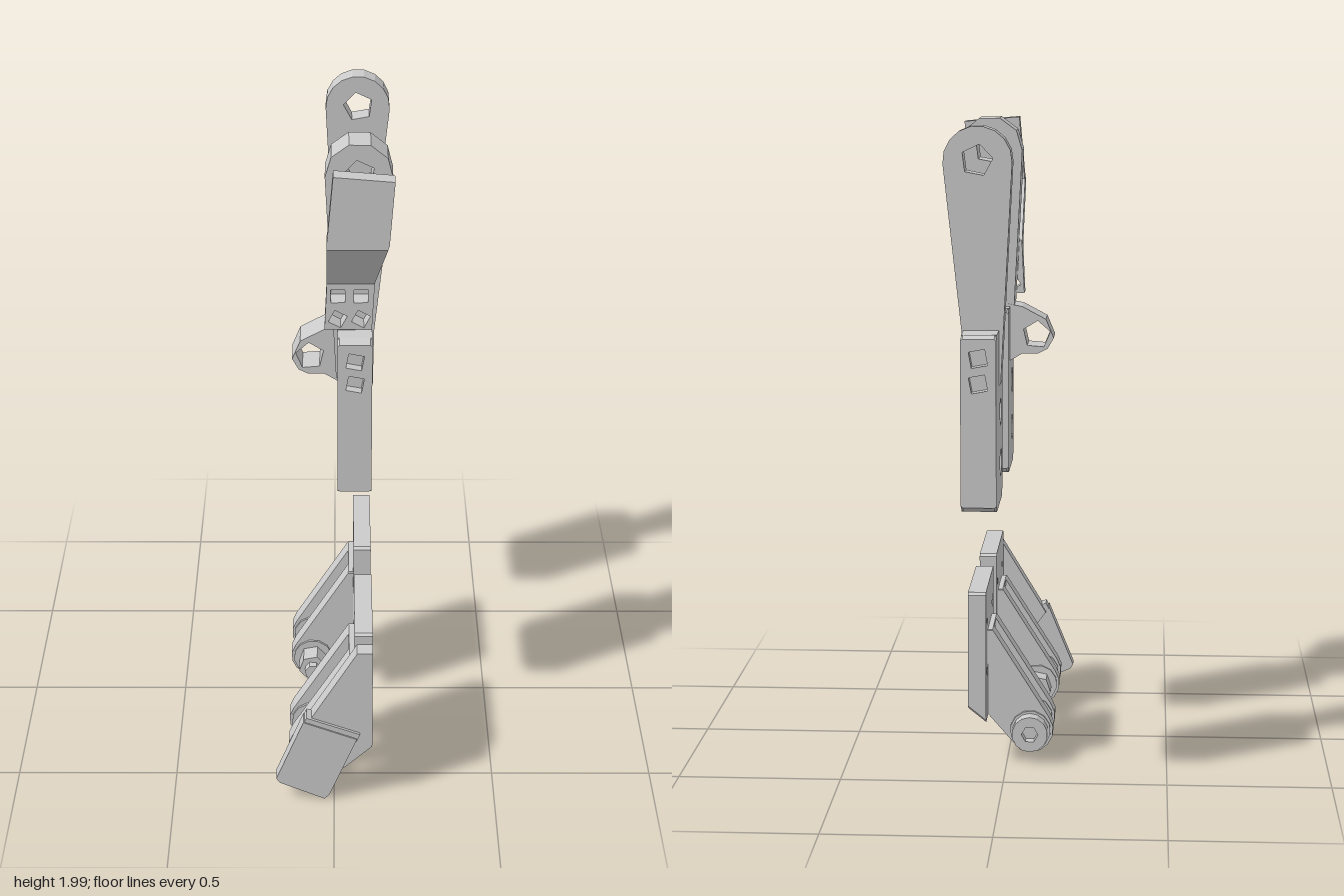
import * as THREE from 'three';

const material = new THREE.MeshStandardMaterial({ color: 0xcccccc, flatShading: true });

// regular polygon as a list of points
const ring = (x, y, r, sides, turn = 0) => Array.from({ length: sides }, (_, i) => {
  const a = turn + (i / sides) * Math.PI * 2;
  return [x + r * Math.cos(a), y + r * Math.sin(a)];
});

function shapeOf(points, holes = []) {
  const vec = (list) => list.map(([x, y]) => new THREE.Vector2(x, y));
  const shape = new THREE.Shape(vec(points));
  for (const h of holes) shape.holes.push(new THREE.Path(vec(h)));
  return shape;
}

// rectangle with clipped corners
const clipped = (x0, x1, y0, y1, c) => [
  [x0 + c, y0], [x1 - c, y0], [x1, y0 + c], [x1, y1 - c],
  [x1 - c, y1], [x0 + c, y1], [x0, y1 - c], [x0, y0 + c],
];

function add(parent, name, geometry) {
  const mesh = new THREE.Mesh(geometry, material);
  mesh.name = name;
  parent.add(mesh);
  return mesh;
}

// (x, y) outline extruded between two z values
function alongZ(parent, name, points, za, zb, holes) {
  const g = new THREE.ExtrudeGeometry(shapeOf(points, holes), { depth: Math.abs(zb - za), bevelEnabled: false });
  g.translate(0, 0, Math.min(za, zb));
  return add(parent, name, g);
}

// (z, y) outline extruded between two x values
function alongX(parent, name, points, x0, x1, holes) {
  const g = new THREE.ExtrudeGeometry(shapeOf(points, holes), { depth: x1 - x0, bevelEnabled: false });
  g.rotateY(-Math.PI / 2).translate(x1, 0, 0);
  return add(parent, name, g);
}

// upper mounting block with an arm; side = +1 or -1 is the end with the large pockets
function upperBracket(name, zc, side, armFrom, armTo, roundness) {
  const group = new THREE.Group();
  group.name = name;
  const half = 0.152, cap = 0.035;
  const holes = (r, sides) => [];
  const centres = [-0.077, 0.077].flatMap((dz) => [0.99, 1.145].map((y) => [zc + dz, y]));
  const body = clipped(zc - half + cap, zc + half - cap, 0.875, 1.4, 0.001);
  alongX(group, 'blockOuterLayer', body, 0.06, 0.115, centres.map(([z, y], i) => ring(z, y, 0.033, 4, 0.3 + i * 0.4)));
  alongX(group, 'blockInnerLayer', body, 0.01, 0.06, centres.map(([z, y]) => ring(z, y, 0.045, 6, 0.3)));

  // end caps with blind screw pockets
  const capOutline = clipped(0.01, 0.115, 0.875, 1.4, 0.006);
  for (const end of [1, -1]) {
    const r = end === side ? 0.034 : 0.014;
    const pockets = [1.26, 1.335].map((y) => ring(0.063, y, r, end === side ? 4 : 3, 0.6));
    const cappedEnd = alongZ(group, 'blockEndCap', capOutline, zc + end * (half - cap), zc + end * half, pockets);
    // chamfer the outer top and bottom edges
    const p = cappedEnd.geometry.attributes.position;
    for (let i = 0; i < p.count; i++) {
      if (Math.abs(p.getZ(i) - zc) > half - 0.001) {
        if (p.getY(i) < 0.89) p.setY(i, p.getY(i) + 0.018);
        if (p.getY(i) > 1.39) p.setY(i, p.getY(i) - 0.008);
      }
    }
    cappedEnd.geometry.computeVertexNormals();
  }

  // tapered arm with a rounded, drilled head
  const outline = [[0.005, 1.24], [0.03, 1.22], [0.118, 1.22], [0.121, 1.4]];
  for (let i = 0; i <= roundness; i++) {
    const a = -0.08 + (i / roundness) * (Math.PI + 0.12);
    outline.push([0.073 + 0.102 * Math.cos(a), 1.898 + 0.102 * Math.sin(a)]);
  }
  alongZ(group, 'arm', outline, armFrom, armTo, [ring(0.075, 1.9, 0.048, 5, 0.5)]);
  return group;
}

// stepped tab fixed to the front of the arm
function offsetTab() {
  const group = new THREE.Group();
  group.name = 'offsetTab';
  const bolts = [0.01, 0.08].flatMap((x) => [1.465, 1.54].map((y, i) => ring(x, y, 0.03, 4, 0.3 + i * 0.5)));
  alongZ(group, 'tabFoot', [[-0.03, 1.43], [0.113, 1.43], [0.122, 1.6], [-0.022, 1.6]], 0.17, 0.235, bolts);
  // sloping web, widening towards the top
  const web = alongX(group, 'tabWeb', [[0.17, 1.6], [0.235, 1.58], [0.41, 1.76], [0.41, 1.785], [0.352, 1.785]], 0, 1);
  const p = web.geometry.attributes.position;
  for (let i = 0; i < p.count; i++) {
    const t = (p.getY(i) - 1.58) / 0.2;
    p.setX(i, p.getX(i) > 0.5 ? 0.12 + 0.04 * t : -0.023);
  }
  web.geometry.computeVertexNormals();
  const head = [[-0.022, 1.78], [0.16, 1.77], [0.175, 1.97], [-0.004, 1.985]];
  alongZ(group, 'tabHead', head, 0.375, 0.41);
  alongZ(group, 'tabHeadBack', head, 0.352, 0.375, [ring(0.08, 1.9, 0.026, 5)]);
  return group;
}

// lower plate with two gusset lugs and a cross bolt; m maps z for the mirrored copy
function lowerBracket(name, m) {
  const group = new THREE.Group();
  group.name = name;
  const a = m(0.195), b = m(0.567), z0 = Math.min(a, b), z1 = Math.max(a, b), zc = (a + b) / 2;
  const holes = [-0.133, 0.133].flatMap((dz) => [0.295, 0.455].map((y) => ring(zc + dz, y, 0.026, 3, dz > 0 ? Math.PI : 0)));
  const plate = alongX(group, 'mountingPlate', clipped(z0, z1, 0.19, 0.56, 0.008), 0.062, 0.118, holes);
  // slanted lower edge
  const p = plate.geometry.attributes.position;
  for (let i = 0; i < p.count; i++) if (p.getX(i) < 0.09 && p.getY(i) < 0.2) p.setY(i, p.getY(i) - 0.045);
  plate.geometry.computeVertexNormals();

  // gusset lugs
  const bx = -0.072, by = 0.1;
  const lug = [[0.07, 0.16], [0.07, 0.42], [0.045, 0.42]];
  for (let i = 0; i <= 6; i++) {
    const t = 2.5 + (i / 6) * 2.7;
    lug.push([bx + 0.072 * Math.cos(t), by + 0.072 * Math.sin(t)]);
  }
  for (const [s, e] of [[0.273, 0.335], [0.425, 0.487]]) alongZ(group, 'lug', lug, m(s), m(e));
  // raised ties between the lugs on the back of the plate
  for (const y of [0.3, 0.41]) alongZ(group, 'tie', clipped(0.045, 0.065, y - 0.012, y + 0.012, 0.002), m(0.28), m(0.48));
  alongZ(group, 'lowerTie', clipped(0.035, 0.07, 0.15, 0.2, 0.004), m(0.28), m(0.48));

  // cross bolt with spacer, washers and nut
  const disc = (part, r, sides, s, e, inner) => alongZ(group, part, ring(bx, by, r, sides, 0.2), m(s), m(e), inner);
  disc('boltHead', 0.056, 14, 0.505, 0.54, [ring(bx, by, 0.026, 6)]);
  disc('boltHeadBase', 0.056, 14, 0.495, 0.505);
  disc('spacer', 0.042, 7, 0.33, 0.43);
  disc('nut', 0.046, 6, 0.195, 0.262);
  disc('boltEnd', 0.026, 7, 0.168, 0.2);
  for (const z of [0.268, 0.34, 0.42, 0.491]) disc('washer', 0.064, 12, z - 0.004, z + 0.004);
  return group;
}

// angled foot beside the front plate
function sideFoot() {
  const group = new THREE.Group();
  group.name = 'sideFoot';
  alongZ(group, 'footWeb', [[0.07, 0.525], [0.118, 0.525], [0.118, 0.19], [0.03, 0.11], [-0.085, 0.27]], 0.568, 0.625);
  alongZ(group, 'footPad', [[-0.095, 0.287], [-0.18, 0.08], [-0.17, 0.065], [-0.03, 0.005], [-0.015, 0.02], [0.07, 0.225]], 0.585, 0.64);
  // ridge where the pad meets the web
  alongZ(group, 'footRidge', [[-0.085, 0.3], [-0.095, 0.28], [0.07, 0.215], [0.08, 0.24]], 0.58, 0.635);
  return group;
}

export function createModel() {
  const model = new THREE.Group();
  model.name = 'bracketSet';

  const front = upperBracket('frontUpperBracket', 0.1125, 1, 0.055, 0.17, 5);
  // side eye on the front arm
  alongZ(front, 'sideEye', [
    [0.02, 1.22], [0.02, 1.41], [-0.03, 1.4], [-0.105, 1.36], [-0.13, 1.3], [-0.11, 1.265], [-0.08, 1.25], [-0.03, 1.25],
  ], 0.053, 0.165, [ring(-0.075, 1.31, 0.045, 5, 0.4)]);
  model.add(front, offsetTab());
  model.add(upperBracket('rearUpperBracket', -0.505, -1, -0.522, -0.447, 9));

  model.add(lowerBracket('frontLowerBracket', (z) => z));
  model.add(lowerBracket('rearLowerBracket', (z) => 0.225 - z));
  model.add(sideFoot());
  return model;
}
